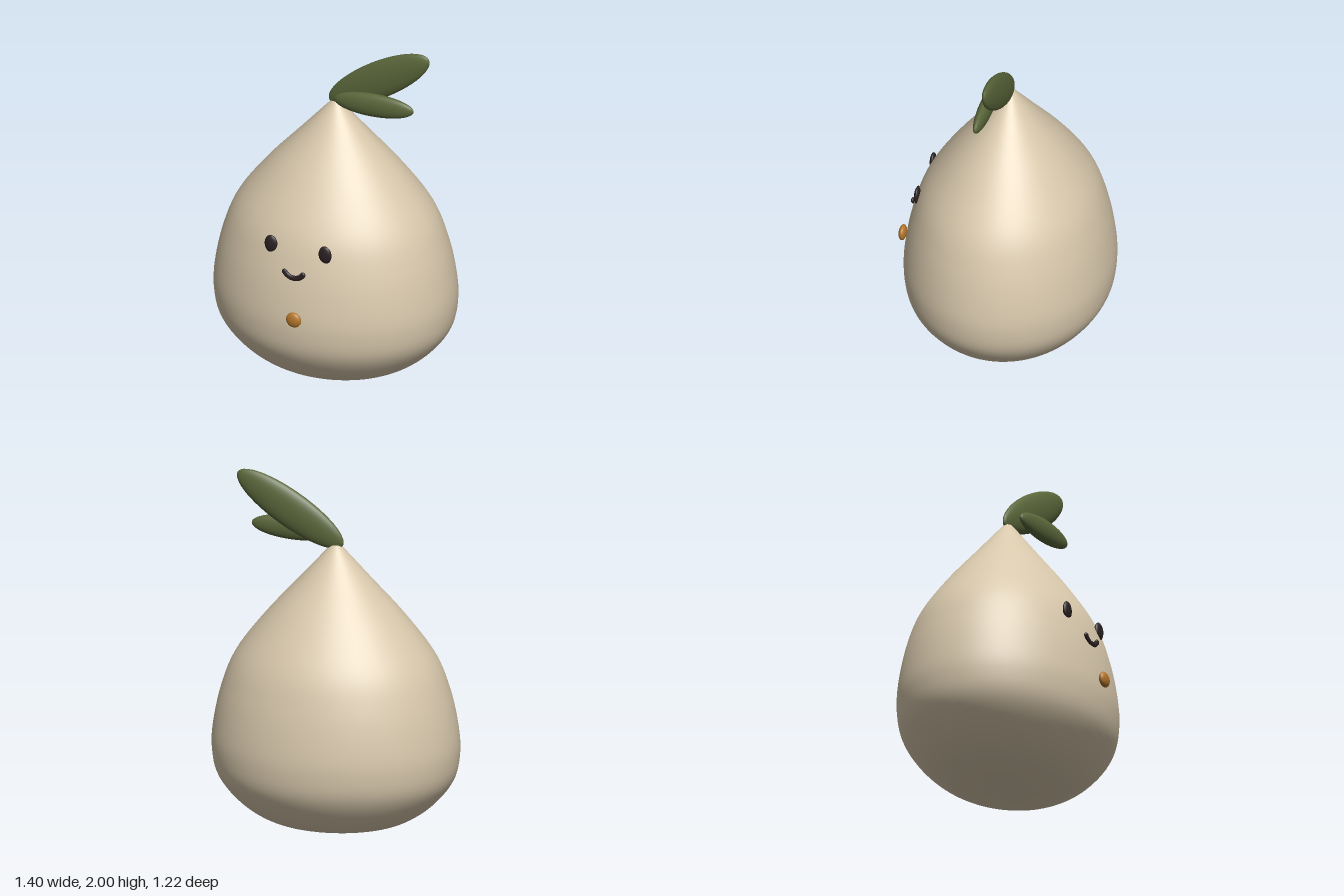
import * as THREE from 'three';

const material = (name, color) => {
  const m = new THREE.MeshStandardMaterial({ color });
  m.name = name;
  return m;
};

export function createModel() {
  const group = new THREE.Group();
  const cream = material('cream', 0xd8c8ac);
  const green = material('leafGreen', 0x5a663a);
  const dark = material('darkBrown', 0x2a2022);
  const orange = material('orange', 0xb4762a);

  const add = (name, geometry, mat, position, scale = [1, 1, 1], tilt = 0) => {
    const mesh = new THREE.Mesh(geometry, mat);
    mesh.name = name;
    mesh.position.set(...position);
    mesh.scale.set(...scale);
    mesh.rotation.z = tilt;
    group.add(mesh);
    return mesh;
  };

  // Pear-shaped body, flat underneath and narrower front to back
  const outline = [
    [0, 0], [0.24, 0.003], [0.4, 0.035], [0.55, 0.13], [0.665, 0.27],
    [0.7, 0.42], [0.69, 0.58], [0.645, 0.78], [0.565, 0.975], [0.4, 1.195],
    [0.2, 1.415], [0.045, 1.585], [0.02, 1.603], [0, 1.608],
  ].map(([x, y]) => new THREE.Vector2(x, y));
  const profile = new THREE.SplineCurve(outline).getPoints(72);
  profile.forEach((p) => { p.x = Math.max(p.x, 0); p.y = Math.max(p.y, 0); });
  profile[0].x = profile[profile.length - 1].x = 0;
  add('body', new THREE.LatheGeometry(profile, 80), cream, [0, 0, -0.025], [1, 1, 0.836]);

  // Two flattened leaves at the tip
  const ball = new THREE.SphereGeometry(1, 40, 28);
  add('largeLeaf', ball, green, [0.265, 1.79, -0.027], [0.36, 0.106, 0.042], 0.557);
  add('smallLeaf', ball, green, [0.265, 1.663, 0.043], [0.245, 0.07, 0.037], 0.045);

  // Eyes, partly sunk into the face
  for (const [name, side] of [['leftEye', 1], ['rightEye', -1]]) {
    add(name, ball, dark, [side * 0.166, 0.9, 0.467], [0.039, 0.053, 0.017]);
  }

  // Smile: lower arc of a ring with capped ends
  const radius = 0.066, tube = 0.016, start = Math.PI * 1.18, sweep = Math.PI * 0.64;
  const smile = new THREE.TorusGeometry(radius, tube, 12, 32, sweep);
  smile.rotateZ(start);
  add('mouth', smile, dark, [0, 0.812, 0.523], [1, 1, 0.65]);
  for (const a of [start, start + sweep]) {
    add('mouthEnd', ball, dark,
      [radius * Math.cos(a), 0.812 + radius * Math.sin(a), 0.523], [tube, tube, tube * 0.65]);
  }

  // Button on the belly
  add('button', ball, orange, [0.03, 0.522, 0.588], [0.045, 0.045, 0.022]);

  return group;
}
